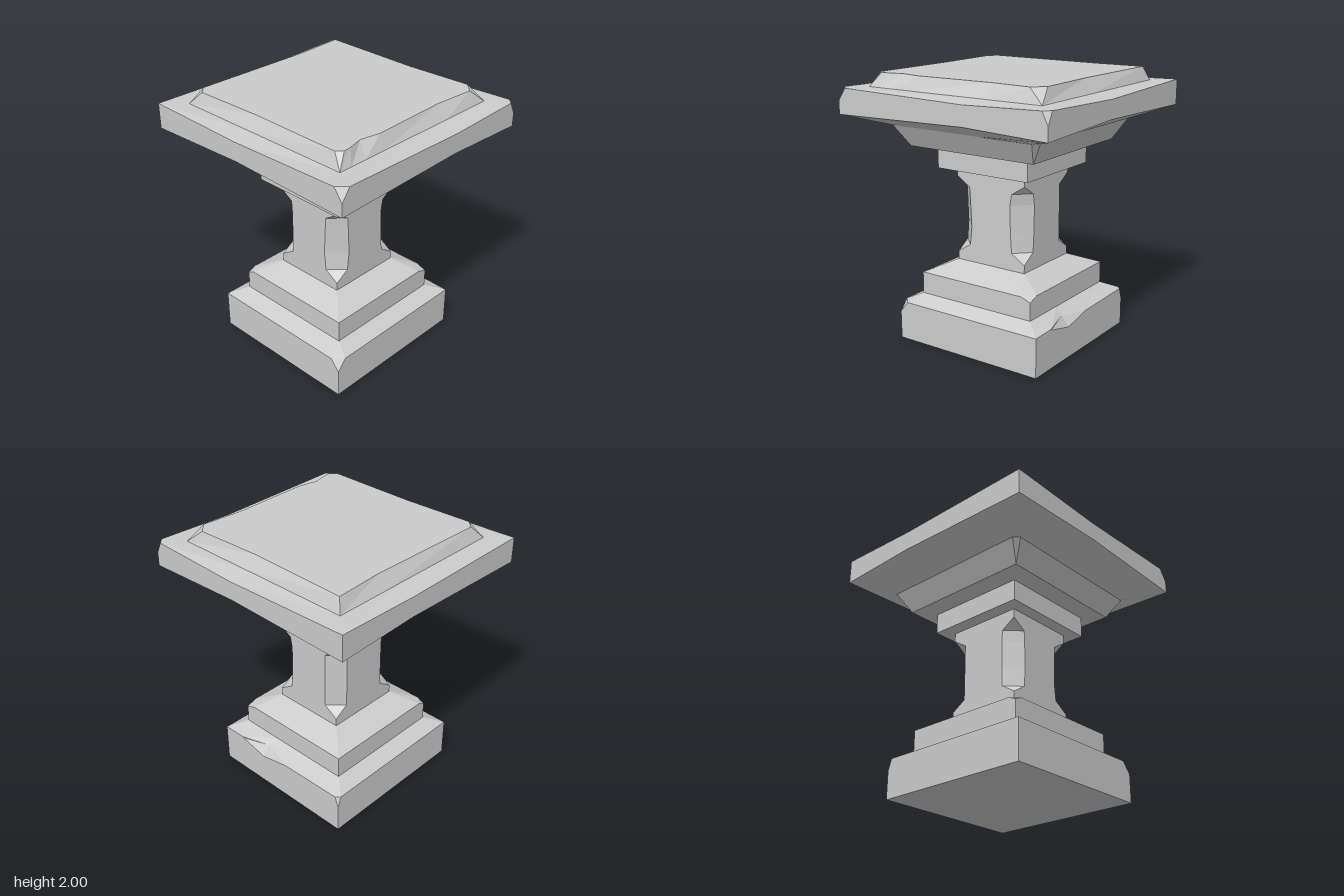
import * as THREE from 'three';

const material = new THREE.MeshStandardMaterial({ color: 0xcccccc, flatShading: true });
// travel direction (x, z) of the sides: front, +x, back, -x
const DIRS = [[1, 0], [0, -1], [-1, 0], [0, 1]];

// One square ring of points. Corners may be cut; extra points on each side may be
// pushed outward or up to wear the edge.
function ringPoints({ x, z, y, cut = [0, 0, 0, 0], wear = {} }, alongs) {
  const corners = [[-x, z], [x, z], [x, -z], [-x, -z]];
  const pts = [];
  for (let i = 0; i < 4; i++) {
    const [cx, cz] = corners[i], d = DIRS[i], p = DIRS[(i + 3) % 4], c = cut[i];
    pts.push(new THREE.Vector3(cx - c * p[0], y, cz - c * p[1]));
    pts.push(new THREE.Vector3(cx + c * d[0], y, cz + c * d[1]));
    alongs[i].forEach((a, k) => {
      const [out, dy] = (wear[i] && wear[i][k]) || [0, 0];
      // outward is the travel direction turned a quarter
      const px = d[0] ? a * x : cx - d[1] * out;
      const pz = d[0] ? cz + d[0] * out : a * z;
      pts.push(new THREE.Vector3(px, y + dy, pz));
    });
  }
  return pts;
}

// Skin a stack of rings and close both ends.
function stack(name, rings, alongs = [[], [], [], []]) {
  const loops = rings.map((r) => ringPoints(r, alongs));
  const pos = [];
  const ab = new THREE.Vector3(), ac = new THREE.Vector3();
  const tri = (a, b, c) => {
    ab.subVectors(b, a);
    ac.subVectors(c, a);
    if (ab.cross(ac).length() > 1e-7) pos.push(...a, ...b, ...c);
  };
  const n = loops[0].length;
  for (let j = 0; j < loops.length - 1; j++) {
    for (let i = 0; i < n; i++) {
      const k = (i + 1) % n, lo = loops[j], hi = loops[j + 1];
      tri(lo[i], lo[k], hi[k]);
      tri(lo[i], hi[k], hi[i]);
    }
  }
  const first = loops[0], last = loops[loops.length - 1];
  const bottom = new THREE.Vector3(0, rings[0].y, 0);
  const top = new THREE.Vector3(0, rings[rings.length - 1].y, 0);
  for (let i = 0; i < n; i++) {
    const k = (i + 1) % n;
    tri(bottom, first[k], first[i]);
    tri(top, last[i], last[k]);
  }
  const geo = new THREE.BufferGeometry();
  geo.setAttribute('position', new THREE.Float32BufferAttribute(pos, 3));
  geo.computeVertexNormals();
  const mesh = new THREE.Mesh(geo, material);
  mesh.name = name;
  return mesh;
}

export function createModel() {
  const group = new THREE.Group();
  group.name = 'pedestal';

  // Plinth with a chipped corner and a dent in its +x edge
  group.add(stack('plinth', [
    { x: 0.607, z: 0.597, y: 0 },
    { x: 0.607, z: 0.597, y: 0.21, wear: { 1: [[0, 0.08], [0, 0.025], [0, 0.07]] } },
    { x: 0.607, z: 0.597, y: 0.293, cut: [0.07, 0, 0.03, 0],
      wear: { 1: [[0, 0.005], [-0.06, 0.015], [0, -0.01]] } },
    { x: 0.48, z: 0.48, y: 0.35 },
  ], [[], [0.68, 0.3, -0.1], [], []]));

  // Second step, sloping up to the shaft, two corners worn
  group.add(stack('step', [
    { x: 0.48, z: 0.48, y: 0.34 },
    { x: 0.48, z: 0.48, y: 0.485 },
    { x: 0.48, z: 0.48, y: 0.513, cut: [0, 0.08, 0, 0.06] },
    { x: 0.295, z: 0.283, y: 0.6 },
  ]));

  // Shaft with stopped chamfers on its corners
  const chamfer = (a, b, c, d) => [a, b, c, d];
  group.add(stack('shaft', [
    { x: 0.295, z: 0.283, y: 0.58 },
    { x: 0.295, z: 0.283, y: 0.66 },
    { x: 0.295, z: 0.283, y: 0.73, cut: chamfer(0.11, 0.11, 0.11, 0.11) },
    { x: 0.295, z: 0.283, y: 0.87, cut: chamfer(0.125, 0.12, 0.11, 0.115) },
    { x: 0.295, z: 0.283, y: 1.08, cut: chamfer(0.115, 0.125, 0.11, 0.115) },
    { x: 0.295, z: 0.283, y: 1.165, cut: chamfer(0.11, 0.11, 0.11, 0.11) },
    { x: 0.295, z: 0.283, y: 1.235 },
    { x: 0.295, z: 0.283, y: 1.31 },
  ]));

  group.add(stack('collar', [
    { x: 0.39, z: 0.385, y: 1.3 },
    { x: 0.39, z: 0.385, y: 1.47 },
  ]));

  // Flared capital and slab with bowed edges and chipped front corners
  const rise = { 0: [[0, 0.025]], 1: [[0, 0.028]], 2: [[0, 0.025]], 3: [[0, 0.028]] };
  const dip = { 0: [[0, -0.02]], 1: [[0, -0.025]], 2: [[0, -0.015]], 3: [[0, -0.02]] };
  group.add(stack('capital', [
    { x: 0.39, z: 0.385, y: 1.457 },
    { x: 0.525, z: 0.52, y: 1.47 },
    { x: 0.612, z: 0.61, y: 1.625, cut: [0, 0.04, 0, 0.04] },
    { x: 0.865, z: 0.873, y: 1.712, wear: rise },
    { x: 0.865, z: 0.873, y: 1.81 },
    { x: 0.865, z: 0.873, y: 1.9, cut: [0.065, 0.045, 0, 0], wear: dip },
    { x: 0.72, z: 0.717, y: 1.9 },
  ], [[0.25], [0.12], [0.25], [-0.08]]));

  // Raised top panel with an uneven rim and a notch at the front
  group.add(stack('topPanel', [
    { x: 0.72, z: 0.717, y: 1.89 },
    { x: 0.72, z: 0.717, y: 1.9 },
    { x: 0.68, z: 0.675, y: 2, cut: [0.04, 0.08, 0, 0.06],
      wear: { 0: [[-0.005, 0], [-0.035, 0], [-0.005, 0], [-0.025, 0]],
        1: [[-0.02, 0]], 2: [[-0.02, 0]], 3: [[-0.015, 0]] } },
  ], [[-0.86, -0.68, -0.46, 0.42], [0.15], [0.45], [-0.12]]));

  return group;
}
